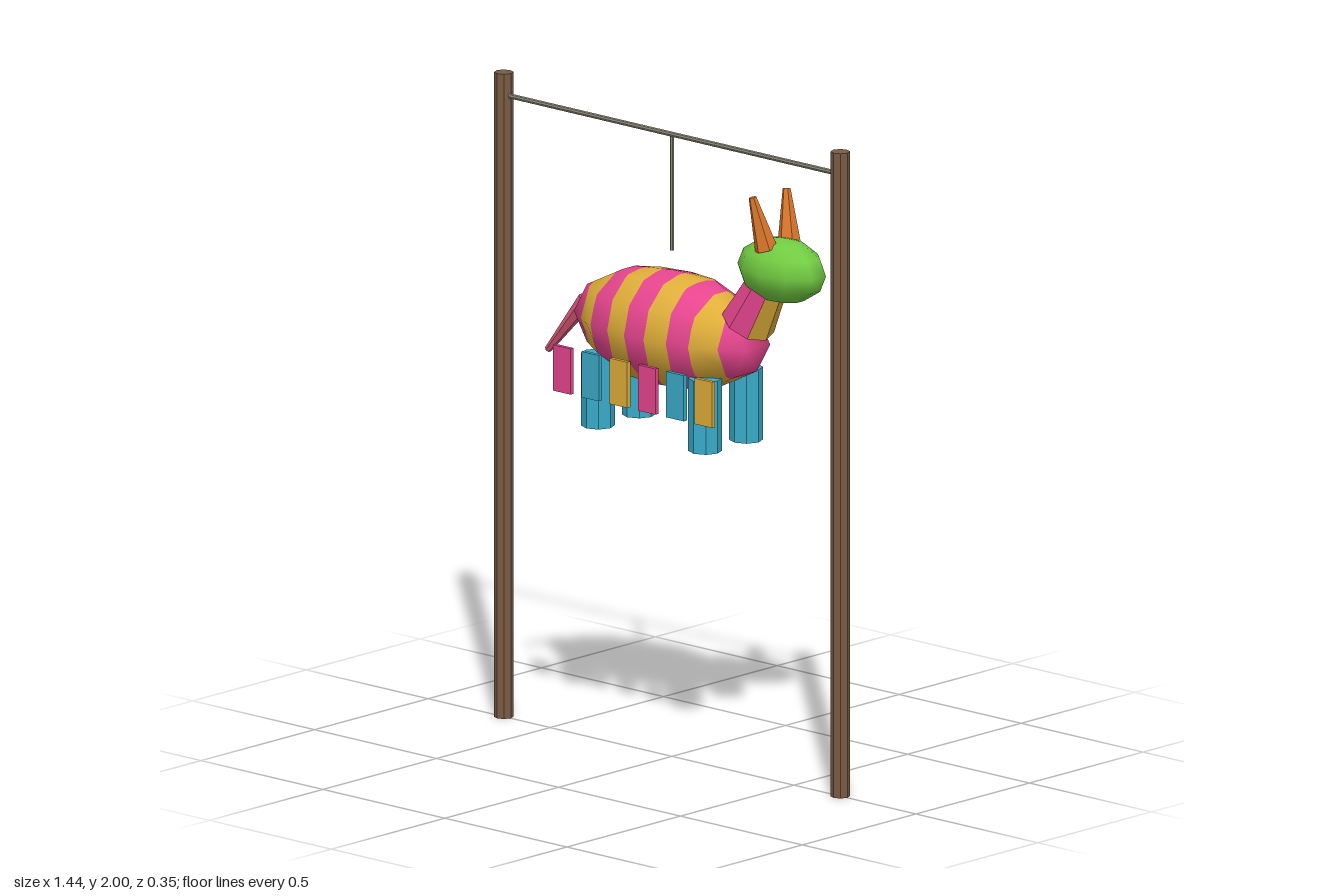
import * as THREE from 'three';

const mat = (name, color, flatShading = false) => {
  const m = new THREE.MeshStandardMaterial({ color });
  m.name = name;
  m.flatShading = flatShading;
  return m;
};

// Straight tapered rod between two points
function rod(name, from, to, r0, r1, sides, material) {
  const a = new THREE.Vector3(...from), b = new THREE.Vector3(...to);
  const dir = b.clone().sub(a);
  const geo = new THREE.CylinderGeometry(r1, r0, dir.length(), sides).toNonIndexed();
  geo.computeVertexNormals();
  const mesh = new THREE.Mesh(geo, material);
  mesh.name = name;
  mesh.position.copy(a).add(b).multiplyScalar(0.5);
  mesh.quaternion.setFromUnitVectors(new THREE.Vector3(0, 1, 0), dir.normalize());
  return mesh;
}

// Coarse ellipsoid with a blunt nose and tail end
function ellipsoid(rx, ry, rz) {
  return new THREE.SphereGeometry(1, 10, 6).rotateY(Math.PI / 2).scale(rx, ry, rz);
}

// Part of a geometry lying between two x planes
function slice(source, x0, x1) {
  const geo = source.toNonIndexed();
  const P = geo.attributes.position, N = geo.attributes.normal;
  const pos = [], nor = [];
  const clip = (poly, inside) => poly.flatMap((a, i) => {
    const b = poly[(i + 1) % poly.length];
    const da = inside(a), db = inside(b);
    const out = da >= 0 ? [a] : [];
    if (da * db < 0) {
      const t = da / (da - db);
      out.push({ p: a.p.clone().lerp(b.p, t), n: a.n.clone().lerp(b.n, t).normalize() });
    }
    return out;
  });
  for (let i = 0; i < P.count; i += 3) {
    let poly = [0, 1, 2].map(k => ({
      p: new THREE.Vector3().fromBufferAttribute(P, i + k),
      n: new THREE.Vector3().fromBufferAttribute(N, i + k),
    }));
    poly = clip(clip(poly, v => v.p.x - x0), v => x1 - v.p.x);
    for (let k = 1; k + 1 < poly.length; k++) {
      for (const v of [poly[0], poly[k], poly[k + 1]]) {
        pos.push(...v.p.toArray());
        nor.push(...v.n.toArray());
      }
    }
  }
  const result = new THREE.BufferGeometry();
  result.setAttribute('position', new THREE.Float32BufferAttribute(pos, 3));
  result.setAttribute('normal', new THREE.Float32BufferAttribute(nor, 3));
  return result;
}

export function createModel() {
  const pink = mat('pink paper', 0xe8468f);
  const gold = mat('gold paper', 0xe0ae3a);
  const cyan = mat('cyan paper', 0x3aaccb);
  const green = mat('green paper', 0x72cc42);
  const orange = mat('orange horn', 0xd9752c);
  const rose = mat('rose tail', 0xdc5a78);
  const wood = mat('brown wood', 0x7a5c44);
  const cord = mat('grey cord', 0x8c8a7a);

  const model = new THREE.Group();
  model.name = 'hangingPaperAnimal';

  // Frame and hanging cord
  for (const s of [-1, 1])
    model.add(rod(s > 0 ? 'leftPost' : 'rightPost', [s * 0.69, 0, 0], [s * 0.69, 2, 0], 0.029, 0.029, 8, wood));
  model.add(rod('crossbar', [-0.68, 1.93, 0], [0.68, 1.93, 0], 0.008, 0.008, 8, cord));
  model.add(rod('hangingCord', [0, 1.57, 0], [0, 1.93, 0], 0.006, 0.006, 6, cord));

  // Striped body
  const body = new THREE.Group();
  body.name = 'body';
  body.position.y = 1.33;
  const shell = ellipsoid(0.37, 0.18, 0.175);
  for (let i = -4; i <= 4; i++) {
    const x0 = i === -4 ? -1 : i * 0.08 - 0.04;
    const x1 = i === 4 ? 1 : i * 0.08 + 0.04;
    const stripe = new THREE.Mesh(slice(shell, x0, x1), i % 2 ? gold : pink);
    stripe.name = 'bodyStripe';
    body.add(stripe);
  }
  model.add(body);

  // Neck: gold front and back, pink sides
  const neck = rod('neck', [0.312, 1.4, 0], [0.41, 1.57, 0], 0.084, 0.06, 8, [pink, gold]);
  neck.geometry.clearGroups();
  for (let f = 0; f < 8; f++) {
    const facing = Math.abs(Math.sin((f + 0.5) * Math.PI / 4));
    neck.geometry.addGroup(f * 6, 6, facing > 0.5 ? 1 : 0);
  }
  neck.geometry.addGroup(48, 48, 1);
  model.add(neck);

  // Head
  const head = new THREE.Mesh(ellipsoid(0.16, 0.1, 0.102), green);
  head.name = 'head';
  head.position.set(0.45, 1.59, 0);
  model.add(head);

  // Horns and legs, mirrored across z
  for (const s of [-1, 1]) {
    model.add(rod('horn', [0.434, 1.66, s * 0.05], [0.4, 1.82, s * 0.075], 0.036, 0.012, 6, orange));
    for (const x of [-0.22, 0.22])
      model.add(rod(x > 0 ? 'frontLeg' : 'hindLeg', [x, 1.005, s * 0.09], [x, 1.23, s * 0.09], 0.051, 0.051, 8, cyan));
  }

  // Tail
  model.add(rod('tail', [-0.35, 1.355, 0], [-0.508, 1.172, 0], 0.027, 0.011, 6, rose));

  // Paper fringe along the front side
  [pink, cyan, gold, pink, cyan, gold].forEach((m, i) => {
    const flap = new THREE.Mesh(new THREE.BoxGeometry(0.072, 0.142, 0.014), m);
    flap.name = 'fringeFlap';
    flap.position.set((i - 2.5) * 0.116, 1.181, 0.167);
    model.add(flap);
  });

  return model;
}
